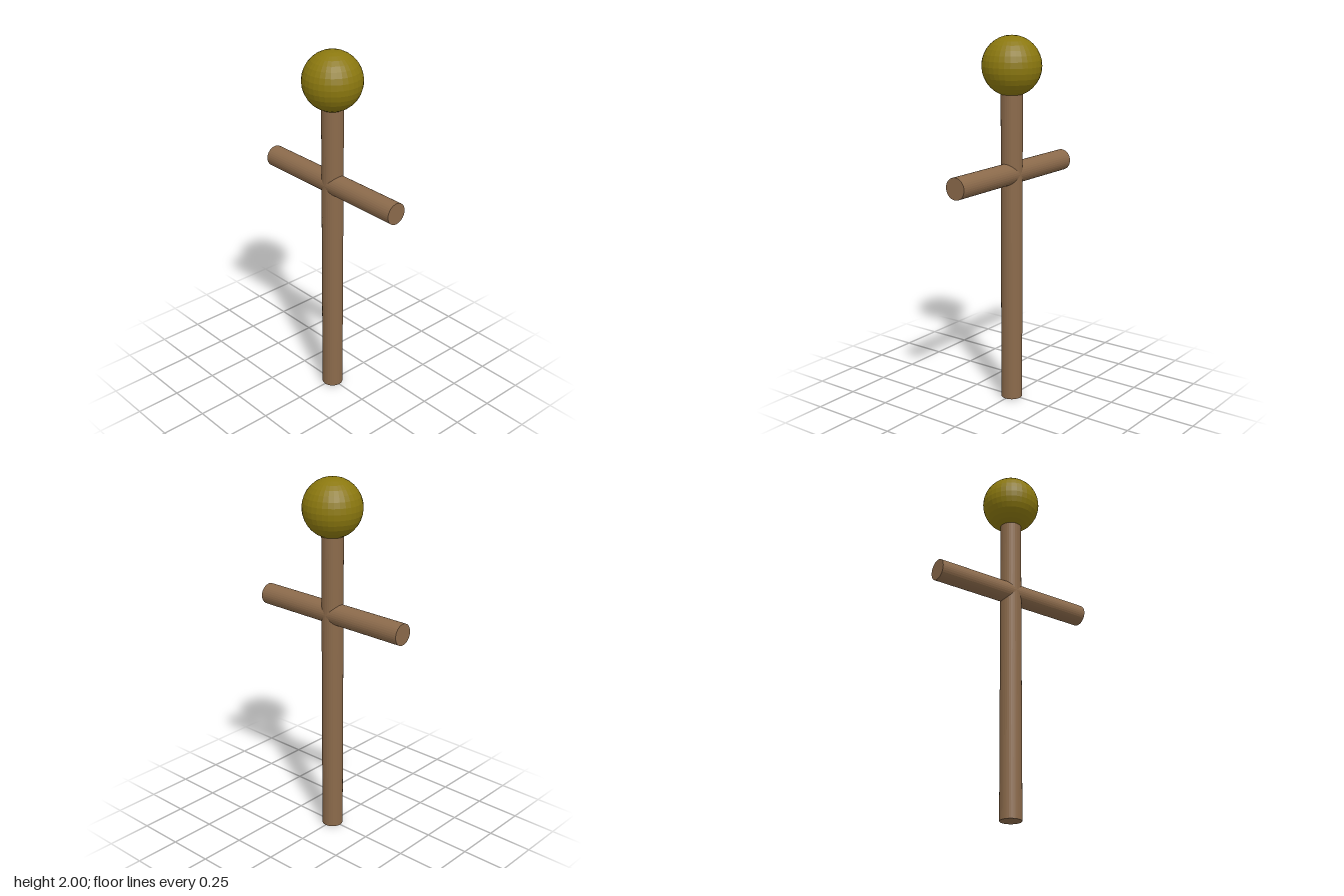
import * as THREE from 'three';

export function createModel() {
  const wood = new THREE.MeshStandardMaterial({ color: 0x8b6a4b, flatShading: true });
  wood.name = 'brown wood';
  const olive = new THREE.MeshStandardMaterial({ color: 0x8b780f, flatShading: true });
  olive.name = 'olive';

  const group = new THREE.Group();
  group.name = 'postFigure';
  const add = (name, geometry, material, y) => {
    const mesh = new THREE.Mesh(geometry, material);
    mesh.name = name;
    mesh.position.y = y;
    group.add(mesh);
    return mesh;
  };

  const rodRadius = 0.058;
  const headRadius = 0.158;
  const postHeight = 1.7;

  // Upright post, its top sunk into the ball
  add('post', new THREE.CylinderGeometry(rodRadius, rodRadius, postHeight, 32), wood, postHeight / 2);

  // Crossbar through the post
  add('crossbar', new THREE.CylinderGeometry(rodRadius, rodRadius, 0.946, 32), wood, 1.274)
    .rotation.z = Math.PI / 2;

  // Ball on top
  add('head', new THREE.SphereGeometry(headRadius, 32, 16), olive, 2 - headRadius);

  return group;
}
